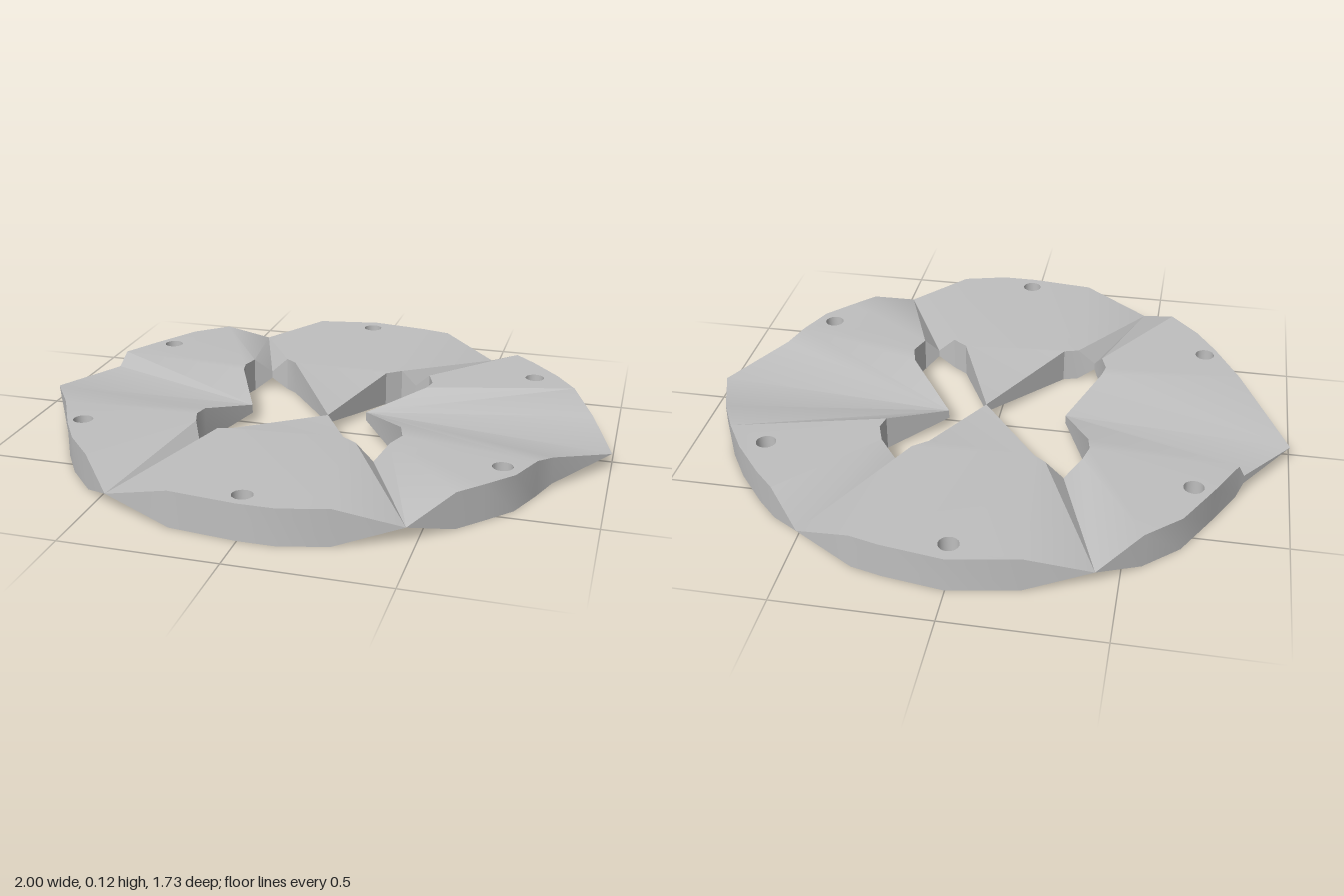
import * as THREE from 'three';
import { toCreasedNormals } from 'three/addons/utils/BufferGeometryUtils.js';

// Plan points are [x, z, t]; t is the local thickness, 0 = pinched to an edge, 1 = full
const MID = 0.05, UP = 0.07, DOWN = 0.05;
const centre = [0.04, 0.02, 0.25];

// Outer pinch points and inner ends of the six valleys
const right = [1, 0.05, 0], rightTip = [0.16, -0.04, 0.25];
const left = [-1, -0.03, 0], leftTip = [-0.24, 0, 0.25];
const backR = [0.49, -0.74, 0], backRTip = [0.27, -0.35, 0.2];
const backL = [-0.43, -0.77, 0], backLTip = [-0.28, -0.35, 0.2];
const frontR = [0.47, 0.74, 0], frontRTip = [0.28, 0.35, 0.2];
const frontL = [-0.45, 0.77, 0], frontLTip = [-0.3, 0.36, 0.2];

// Each lobe: full-height plate with a screw hole, and fans sloping down to the valleys
const lobes = [
  { // back
    hole: [0, -0.8],
    plate: [[-0.22, -0.35], [-0.18, -0.32], [0.17, -0.3], [0.22, -0.34],
      [0.3, -0.815], [0.2, -0.84], [0, -0.87], [-0.22, -0.83]],
    fans: (p) => [[backL, backLTip, p[0], p[7]], [backR, p[4], p[3], backRTip], [centre, p[2], p[1]]],
  },
  { // front
    hole: [0, 0.8],
    plate: [[-0.24, 0.35], [-0.19, 0.335], [0.17, 0.31], [0.22, 0.345],
      [0.27, 0.82], [0.12, 0.86], [0, 0.86], [-0.22, 0.835]],
    fans: (p) => [[frontL, frontLTip, p[0], p[7]], [frontR, p[4], p[3], frontRTip], [centre, p[2], p[1]]],
  },
  { // back right
    hole: [0.693, -0.4],
    plate: [[0.34, -0.2], [0.35, -0.25], [0.325, -0.32], [0.6, -0.63], [0.67, -0.56], [0.77, -0.44], [0.84, -0.33]],
    fans: (p) => [[backR, backRTip, p[2], p[3]],
      [rightTip, p[0], p[6], [0.92, -0.17, 0.5], right]],
  },
  { // back left, with a sharp step beside the left valley
    hole: [-0.693, -0.4],
    plate: [[-0.34, -0.2], [-0.35, -0.25], [-0.335, -0.31], [-0.56, -0.66], [-0.67, -0.56], [-0.76, -0.4], [-0.83, -0.265]],
    fans: (p) => [[backL, backLTip, p[2], p[3]],
      [leftTip, p[0], p[6], [-0.85, -0.24, 0.25], left]],
  },
  { // front right
    hole: [0.693, 0.4],
    plate: [[0.33, 0.18], [0.35, 0.25], [0.325, 0.32], [0.59, 0.615], [0.66, 0.54], [0.74, 0.45], [0.79, 0.33]],
    fans: (p) => [[frontR, frontRTip, p[2], p[3]],
      [rightTip, p[0], p[6], [0.83, 0.25, 0.75], right]],
  },
  { // front left
    hole: [-0.693, 0.4],
    plate: [[-0.34, 0.2], [-0.35, 0.25], [-0.33, 0.31], [-0.56, 0.66], [-0.66, 0.55], [-0.73, 0.44], [-0.82, 0.27]],
    fans: (p) => [[frontL, frontLTip, p[2], p[3]], [left, leftTip, p[0], p[6]]],
  },
];

// Triangles of the plan, wound to face up
function planTriangles() {
  const tris = [];
  const add = (a, b, c) => {
    const ny = (b[1] - a[1]) * (c[0] - a[0]) - (b[0] - a[0]) * (c[1] - a[1]);
    tris.push(ny > 0 ? [a, b, c] : [a, c, b]);
  };
  for (const lobe of lobes) {
    const plate = lobe.plate.map(([x, z]) => [x, z, 1]);
    const ring = Array.from({ length: 20 }, (_, i) => {
      const a = (i / 20) * Math.PI * 2;
      return [lobe.hole[0] + 0.033 * Math.cos(a), lobe.hole[1] + 0.033 * Math.sin(a), 1];
    });
    const flat = (pts) => pts.map(([x, z]) => new THREE.Vector2(x, z));
    const all = [...plate, ...ring];
    for (const [a, b, c] of THREE.ShapeUtils.triangulateShape(flat(plate), [flat(ring)])) add(all[a], all[b], all[c]);
    for (const fan of lobe.fans(plate)) {
      for (let i = 1; i < fan.length - 1; i++) add(fan[0], fan[i], fan[i + 1]);
    }
  }
  return tris;
}

// Top and bottom skins, with walls wherever an edge has no neighbour
function discGeometry() {
  const pos = [];
  const top = ([x, z, t]) => [x, MID + UP * t, z];
  const low = ([x, z, t]) => [x, MID - DOWN * t, z];
  const face = (...pts) => pts.forEach((p) => pos.push(...p));
  const key = (a, b) => `${a[0]},${a[1]}>${b[0]},${b[1]}`;
  const tris = planTriangles();
  const edges = new Set();
  for (const [a, b, c] of tris) [[a, b], [b, c], [c, a]].forEach(([p, q]) => edges.add(key(p, q)));
  for (const [a, b, c] of tris) {
    face(top(a), top(b), top(c));
    face(low(a), low(c), low(b));
    for (const [p, q] of [[a, b], [b, c], [c, a]]) {
      if (edges.has(key(q, p))) continue;
      if (p[2] > 0) face(top(p), low(p), low(q));
      if (q[2] > 0) face(top(p), low(q), top(q));
    }
  }
  const geometry = new THREE.BufferGeometry();
  geometry.setAttribute('position', new THREE.Float32BufferAttribute(pos, 3));
  return toCreasedNormals(geometry, 0.4);
}

export function createModel() {
  const group = new THREE.Group();
  group.name = 'lobedDisc';
  const grey = new THREE.MeshStandardMaterial({ color: 0xbfbfbf });
  grey.name = 'light grey';
  const disc = new THREE.Mesh(discGeometry(), grey);
  disc.name = 'slottedDisc';
  group.add(disc);
  return group;
}
